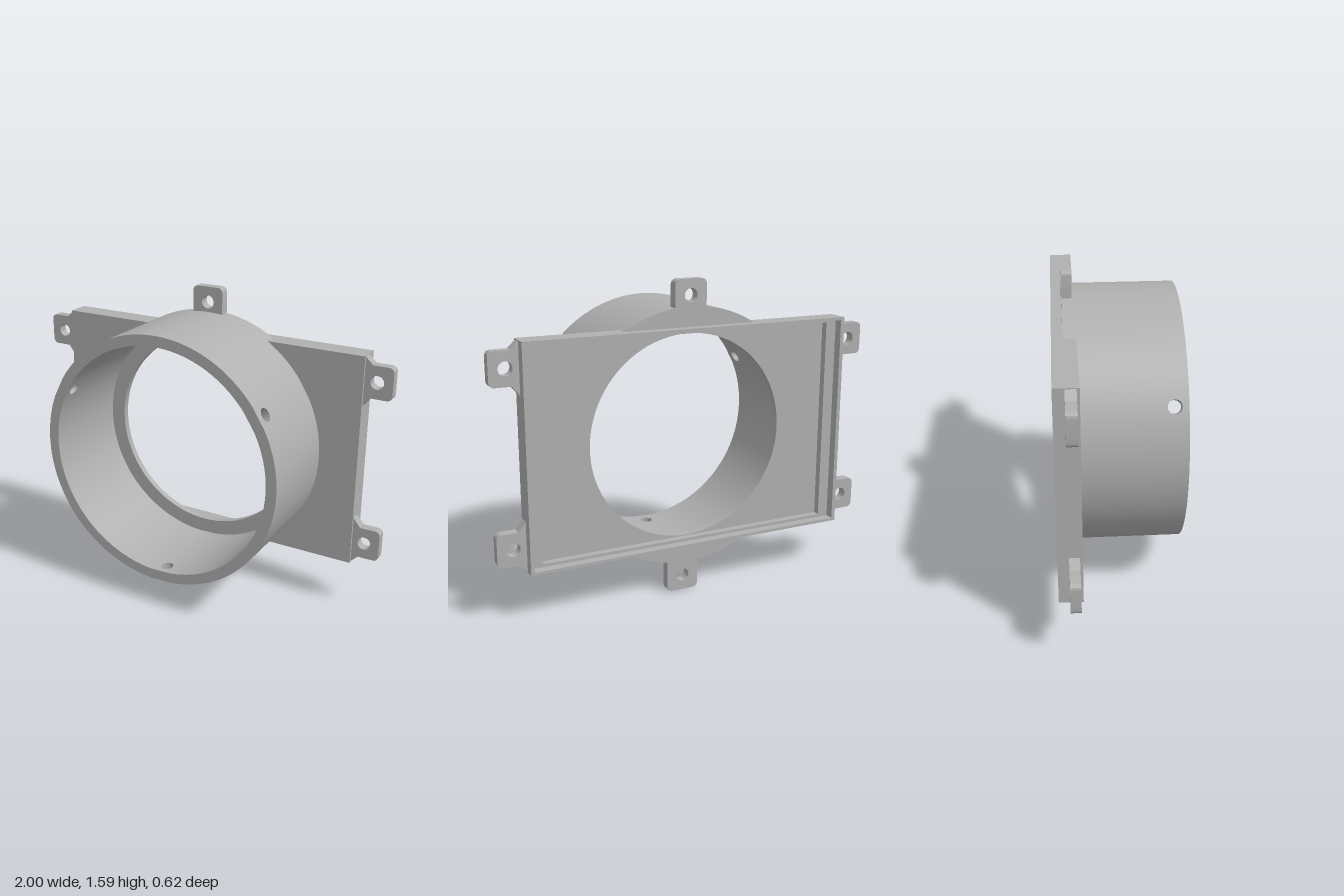
import * as THREE from 'three';
import { toCreasedNormals } from 'three/addons/utils/BufferGeometryUtils.js';

const CY = 0.805;            // height of the duct axis
const R_OUT = 0.655, R_IN = 0.6, R_BORE = 0.52;
const HALF_W = 0.857, HALF_H = 0.555;
const Z_FRONT = 0.308, Z_PLATE = -0.192, Z_BACK = -0.308;
const rad = THREE.MathUtils.degToRad;

function circlePath(x, y, r) {
  return new THREE.Path().absarc(x, y, r, 0, Math.PI * 2, true);
}

function rectPoints(w, h) {
  return [[-w, -h], [w, -h], [w, h], [-w, h]].map(([x, y]) => new THREE.Vector2(x, y));
}

function slab(shape, z0, z1, curveSegments = 24) {
  const g = new THREE.ExtrudeGeometry(shape, { depth: z1 - z0, bevelEnabled: false, curveSegments });
  return toCreasedNormals(g.translate(0, 0, z0), 0.5);
}

// Curved wall piece: a flat panel (arc length, z, thickness) bent round the axis
function wallPiece(midAngle, span, hole) {
  const half = rad(span) / 2 * R_OUT;
  const shape = new THREE.Shape([[-half, Z_PLATE], [half, Z_PLATE], [half, Z_FRONT], [-half, Z_FRONT]]
    .map(([x, y]) => new THREE.Vector2(x, y)));
  if (hole) shape.holes.push(circlePath(0, 0.243, 0.034));
  const flat = new THREE.ExtrudeGeometry(shape, { depth: R_OUT - R_IN, bevelEnabled: false, curveSegments: 12 });
  const p = flat.attributes.position, n = flat.attributes.normal;
  const pos = [], nor = [];
  for (let i = 0; i < p.count; i += 3) {
    // leave out the seams between neighbouring pieces
    if ([0, 1, 2].every(k => Math.abs(Math.abs(p.getX(i + k)) - half) < 1e-6) && Math.abs(n.getX(i)) > 0.9) continue;
    for (let k = i; k < i + 3; k++) {
      const a = rad(midAngle) + p.getX(k) / R_OUT, c = Math.cos(a), s = Math.sin(a);
      const r = R_IN + p.getZ(k);
      pos.push(r * c, r * s, p.getY(k));
      nor.push(n.getZ(k) * c - n.getX(k) * s, n.getZ(k) * s + n.getX(k) * c, n.getY(k));
    }
  }
  const g = new THREE.BufferGeometry();
  g.setAttribute('position', new THREE.Float32BufferAttribute(pos, 3));
  g.setAttribute('normal', new THREE.Float32BufferAttribute(nor, 3));
  return g;
}

// Mounting ear pointing up, its root at y = 0
function earShape(halfW, height, holeY, flare) {
  const r = 0.026;
  const s = new THREE.Shape();
  if (flare) {
    s.moveTo(-halfW - flare[0], 0);
    s.lineTo(halfW + flare[1], 0);
    s.lineTo(halfW, 0.037);
  } else {
    s.moveTo(-halfW, 0);
    s.lineTo(halfW, 0);
  }
  s.lineTo(halfW, height - r);
  s.absarc(halfW - r, height - r, r, 0, Math.PI / 2, false);
  s.lineTo(-halfW + r, height);
  s.absarc(-halfW + r, height - r, r, Math.PI / 2, Math.PI, false);
  if (flare) s.lineTo(-halfW, 0.037);
  s.holes.push(circlePath(0, holeY, 0.034));
  return s;
}

export function createModel() {
  const model = new THREE.Group();
  const body = new THREE.Group();
  body.position.y = CY;
  model.add(body);
  const grey = new THREE.MeshStandardMaterial({ color: 0xb0b0b0 });
  grey.name = 'grey plastic';

  const add = (name, geometry, parent = body) => {
    const mesh = new THREE.Mesh(geometry, grey);
    mesh.name = name;
    parent.add(mesh);
    return mesh;
  };

  // Round duct with three radial screw holes
  const duct = new THREE.Group();
  duct.name = 'duct';
  body.add(duct);
  for (let i = 0; i < 3; i++) {
    const start = 32 + i * 120;
    add('screwHoleWall', wallPiece(start, 10, true), duct);
    for (let k = 0; k < 44; k++) add('ductWall', wallPiece(start + 6.25 + k * 2.5, 2.5, false), duct);
  }

  // Plate floor with the round bore
  const floor = new THREE.Shape(rectPoints(HALF_W, HALF_H));
  floor.holes.push(circlePath(0, 0, R_BORE));
  add('plateFloor', slab(floor, -0.226, Z_PLATE, 72));

  // Stepped frame behind the floor
  const frames = [
    ['frameLedge', 0.78, 0.525, -0.262, -0.226],
    ['frameRim', 0.837, 0.54, Z_BACK, -0.262],
  ];
  for (const [name, w, h, z0, z1] of frames) {
    const s = new THREE.Shape(rectPoints(HALF_W, HALF_H));
    s.holes.push(new THREE.Path(rectPoints(w, h)));
    add(name, slab(s, z0, z1));
  }

  // Caps closing the duct above and below the plate
  const a = Math.asin(HALF_H / R_OUT);
  for (const turn of [0, Math.PI]) {
    const s = new THREE.Shape().absarc(0, 0, R_OUT, a, Math.PI - a, false);
    add('ductCap', slab(s, -0.255, Z_PLATE, 32)).rotation.z = turn;
  }

  // Ears: top, bottom and four at the plate corners
  const Z0 = -0.255, Z1 = -0.205;
  add('topEar', slab(earShape(0.084, 0.15, 0.072), Z0, Z1)).position.y = 0.635;
  const bottom = add('bottomEar', slab(earShape(0.084, 0.17, 0.09), Z0, Z1));
  bottom.position.set(0.04, -0.635, 0);
  bottom.rotation.z = Math.PI;
  for (const side of [1, -1]) {
    for (const up of [1, -1]) {
      const flare = side * up > 0 ? [0.036, 0.046] : [0.046, 0.036];
      const ear = add('cornerEar', slab(earShape(0.083, 0.143, 0.064, flare), Z0, Z1));
      ear.position.set(side * HALF_W, up * 0.431, 0);
      ear.rotation.z = -side * Math.PI / 2;
    }
  }
  return model;
}
